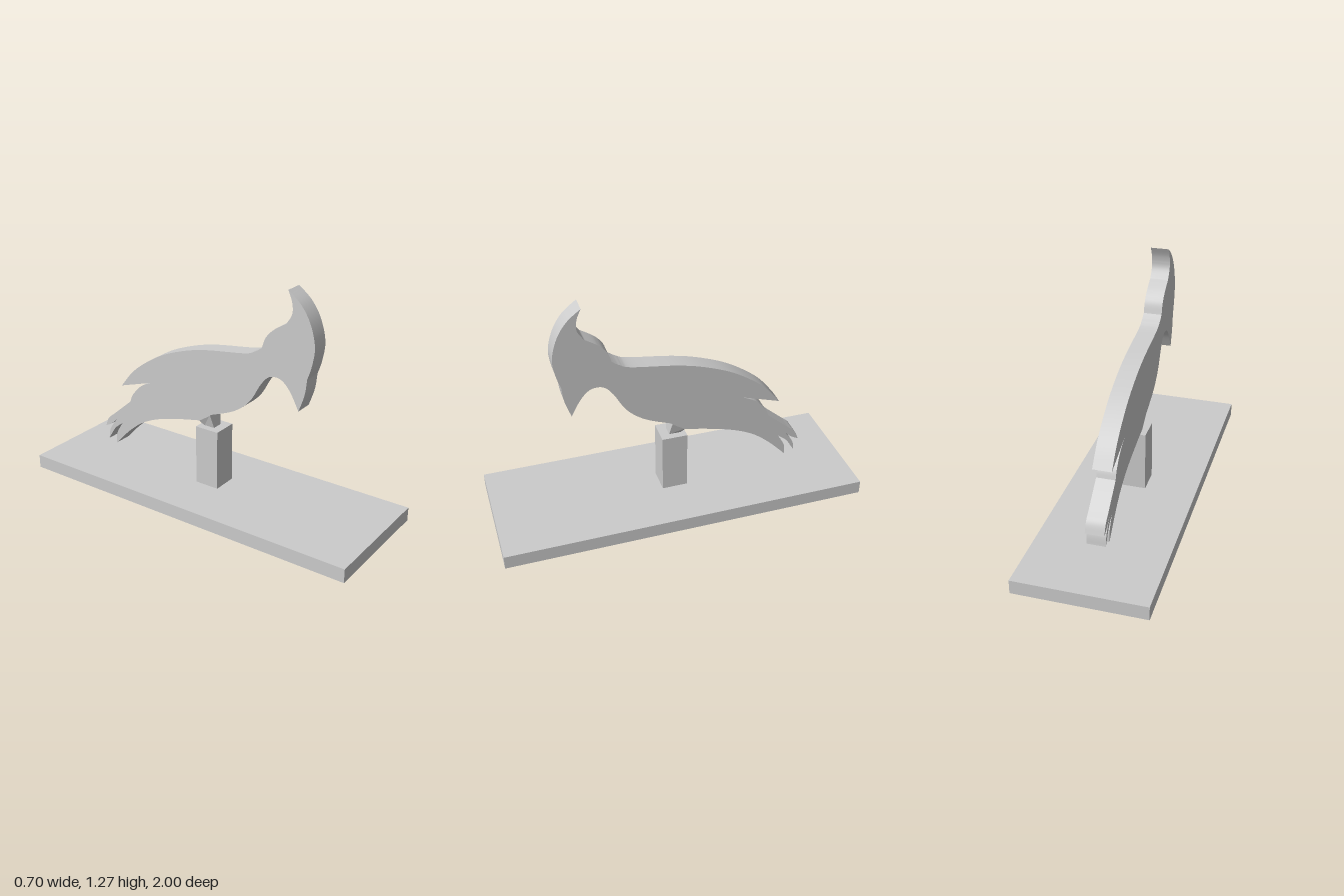
import * as THREE from 'three';
import { toCreasedNormals } from 'three/addons/utils/BufferGeometryUtils.js';

const THICKNESS = 0.1;

// Bird outline as [z, y] runs; each run is a smooth curve between sharp corners
const START = [0.466, 1.266]; // crest tip
const RUNS = [
  [[0.54, 1.205], [0.594, 1.12], [0.623, 1.01], [0.611, 0.91], [0.588, 0.835]], // crest and face
  [[0.577, 0.75], [0.546, 0.656]], // front of beak
  [[0.495, 0.747], [0.44, 0.799], [0.375, 0.799], [0.323, 0.745], [0.257, 0.635], [0.16, 0.555], [0.016, 0.495]], // throat and breast
  [[-0.01, 0.475], [-0.06, 0.442]], // above the leg
  [[-0.2, 0.412], [-0.343, 0.372], [-0.46, 0.318], [-0.56, 0.24], [-0.66, 0.137]], // belly to lowest tail feather
  [[-0.655, 0.2], [-0.612, 0.275]],
  [[-0.67, 0.226], [-0.718, 0.15]], // middle tail feather
  [[-0.705, 0.215], [-0.655, 0.287]],
  [[-0.695, 0.25], [-0.739, 0.226]], // upper tail feather
  [[-0.715, 0.28], [-0.664, 0.325], [-0.546, 0.427]], // top of tail
  [[-0.525, 0.475], [-0.465, 0.54], [-0.386, 0.581]], // rump under the wing
  [[-0.605, 0.511]], // wing underside
  [[-0.503, 0.63], [-0.343, 0.742], [-0.182, 0.811], [-0.02, 0.854], [0.22, 0.89], [0.285, 0.915], [0.325, 0.942]], // wing and back
  [[0.346, 1.0], [0.391, 1.05], [0.46, 1.095]], // nape
  [[0.492, 1.15], [0.489, 1.21], START], // back of crest
];

function createBirdGeometry() {
  const shape = new THREE.Shape();
  shape.moveTo(...START);
  for (const run of RUNS) {
    if (run.length === 1) shape.lineTo(...run[0]);
    else shape.splineThru(run.map(([z, y]) => new THREE.Vector2(z, y)));
  }
  const geometry = new THREE.ExtrudeGeometry(shape, {
    depth: THICKNESS, bevelEnabled: false, curveSegments: 5,
  });
  geometry.translate(0, 0, -THICKNESS / 2).rotateY(-Math.PI / 2);
  return toCreasedNormals(geometry, 0.5);
}

// Leg: a block that widens upward to a top sloping with the belly
function createLegGeometry() {
  const geometry = new THREE.BoxGeometry(1, 1, 1);
  const pos = geometry.attributes.position;
  for (let i = 0; i < pos.count; i++) {
    const top = pos.getY(i) > 0;
    const front = pos.getZ(i) > 0;
    const x = Math.sign(pos.getX(i)) * (top ? 0.049 : 0.03);
    const y = top ? (front ? 0.49 : 0.445) : 0.41;
    const z = top ? (front ? 0.006 : -0.072) : (front ? 0.021 : -0.043);
    pos.setXYZ(i, x, y, z);
  }
  const flat = geometry.toNonIndexed();
  flat.computeVertexNormals();
  return flat;
}

export function createModel() {
  const group = new THREE.Group();
  group.name = 'birdOnStand';
  const material = new THREE.MeshStandardMaterial({ color: 0xcccccc });

  const add = (name, geometry, y = 0) => {
    const mesh = new THREE.Mesh(geometry, material);
    mesh.name = name;
    mesh.position.y = y;
    group.add(mesh);
  };

  add('base', new THREE.BoxGeometry(0.696, 0.076, 2), 0.038);
  add('post', new THREE.BoxGeometry(0.14, 0.337, 0.14), 0.2435);
  add('leg', createLegGeometry());
  add('bird', createBirdGeometry());
  return group;
}
